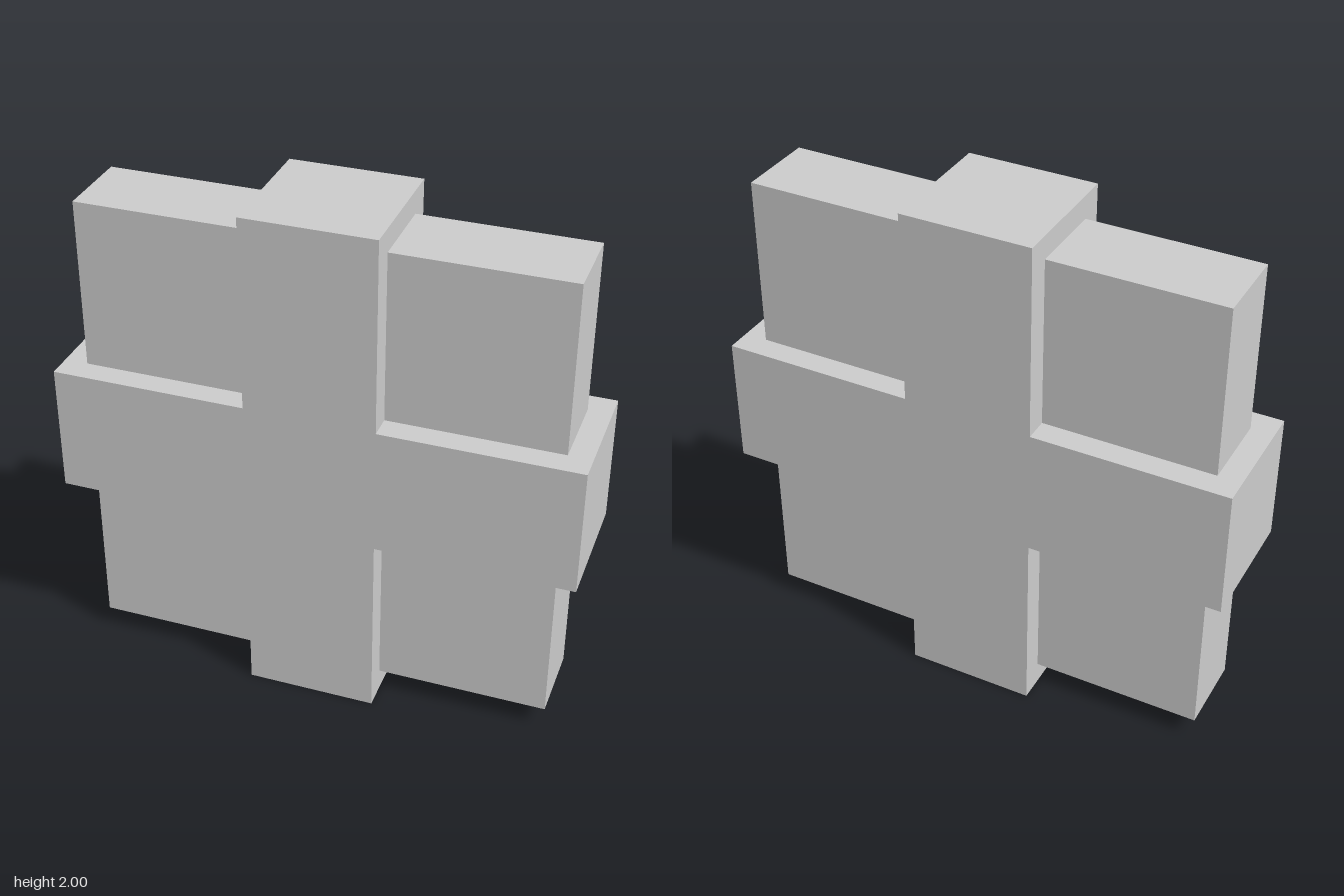
import * as THREE from 'three';

export function createModel() {
  const model = new THREE.Group();
  const material = new THREE.MeshStandardMaterial({ color: 0xcccccc, flatShading: true });
  const arm = 0.25, reach = 1, panelReach = 0.91, panelDepth = 0.31;

  // Thick plus-shaped body
  const outline = [
    [arm, -reach], [arm, -arm], [reach, -arm], [reach, arm], [arm, arm], [arm, reach],
    [-arm, reach], [-arm, arm], [-reach, arm], [-reach, -arm], [-arm, -arm], [-arm, -reach],
  ].map(([x, y]) => new THREE.Vector2(x, y));
  const crossGeometry = new THREE.ExtrudeGeometry(new THREE.Shape(outline), { depth: 2 * arm, bevelEnabled: false });
  crossGeometry.translate(0, 1, -arm);
  const cross = new THREE.Mesh(crossGeometry, material);
  cross.name = 'cross';
  model.add(cross);

  // Thinner square panels filling the four corners
  const size = panelReach - arm, offset = (panelReach + arm) / 2;
  const panelGeometry = new THREE.BoxGeometry(size, size, panelDepth);
  for (const [sx, side] of [[1, 'Left'], [-1, 'Right']]) {
    for (const [sy, level] of [[1, 'upper'], [-1, 'lower']]) {
      const panel = new THREE.Mesh(panelGeometry, material);
      panel.name = `${level}${side}Panel`;
      panel.position.set(sx * offset, 1 + sy * offset, 0);
      model.add(panel);
    }
  }
  return model;
}
